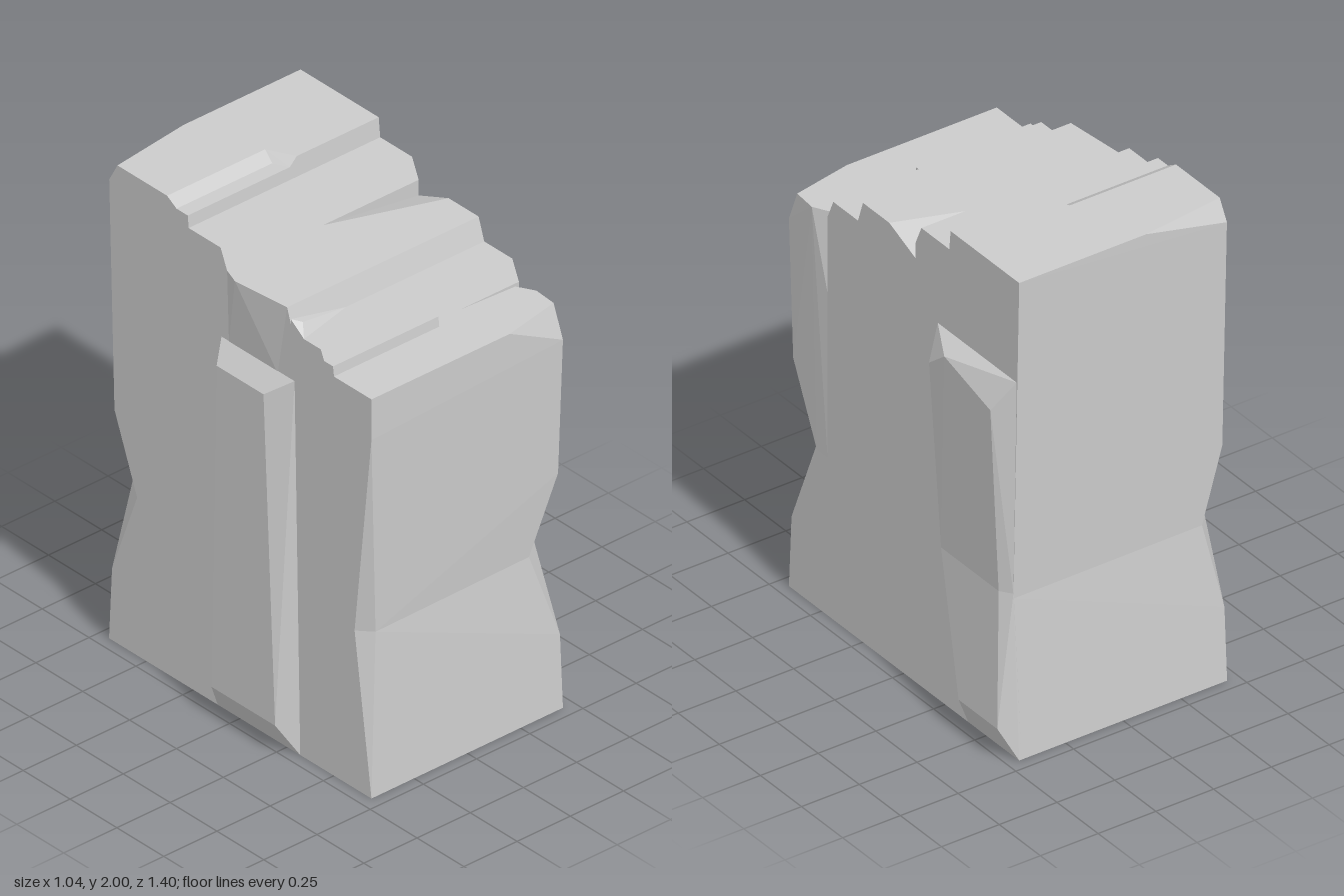
import * as THREE from 'three';
import { ConvexGeometry } from 'three/addons/geometries/ConvexGeometry.js';

const W = 0.45;      // half width of the rock
const WAIST = 0.66;  // height of the pinched waist

export function createModel() {
  const group = new THREE.Group();
  const mat = new THREE.MeshStandardMaterial({ color: 0xcccccc, flatShading: true });

  // A faceted chunk of rock: the convex hull of a few corners
  const chunk = (name, pts) => {
    const mesh = new THREE.Mesh(new ConvexGeometry(pts.map(p => new THREE.Vector3(...p))), mat);
    mesh.name = name;
    group.add(mesh);
  };
  // Both side points for each [y, z] of a profile
  const span = (profile, x0 = -W, x1 = W) => profile.flatMap(([y, z]) => [[x0, y, z], [x1, y, z]]);

  // Waist corners: chips at front left and back right, a bevel at front right
  const frontWaist = [[-0.4, WAIST, 0.665], [-W, WAIST, 0.61], [0.33, WAIST, 0.655], [W, WAIST, 0.53]];
  const backWaist = [[W, WAIST, -0.665], [-0.37, WAIST, -0.66], [-W, WAIST, -0.55]];

  // Lower block, flaring out to the ground
  chunk('base', [
    ...span([[0, 0.7], [0, -0.7]]), ...frontWaist, ...backWaist,
    [W, 0.3, 0.684], [-W, 0.3, -0.684],
  ]);

  // Front column, with a chipped top corner and a side crack
  chunk('frontStep', [
    ...frontWaist, ...span([[WAIST, 0.465]]),
    [W, 0.97, 0.674], [-W, 1.5, 0.7], [-W, 1.67, 0.7], [0.2, 1.67, 0.7],
    [W, 1.54, 0.7], [W, 1.67, 0.65], [0.458, 1.67, 0.55], [0.42, 1.67, 0.48],
    [0.17, 1.67, 0.465], [W, 1.35, 0.465], [-W, 1.67, 0.465],
  ]);

  // Second step
  chunk('secondStep', span([
    [WAIST, 0.465], [1.67, 0.465], [1.75, 0.43], [1.75, 0.28], [WAIST, 0.28],
  ]));

  // Third step, its back left corner broken away
  chunk('thirdStep', [
    ...span([[WAIST, 0.28], [1.75, 0.28], [1.84, 0.25], [WAIST, -0.07]]),
    [-W, 1.84, -0.07], [0, 1.84, -0.07], [-0.02, 1.84, -0.02],
    [W, 1.84, 0.09], [W, 1.77, 0], [W, 1.775, -0.07],
  ]);

  // Fourth step
  chunk('fourthStep', span([
    [WAIST, -0.07], [1.84, -0.07], [1.92, -0.105], [1.92, -0.275], [WAIST, -0.275],
  ]));

  // Top step: a ledge, a ramp behind it and a full-height left part
  chunk('topLedge', span([
    [WAIST, -0.275], [1.92, -0.275], [1.97, -0.28], [1.97, -0.39], [WAIST, -0.39],
  ]));
  chunk('topRamp', span([[1.97, -0.34], [2, -0.39], [1.97, -0.39]], -W, 0.05));
  chunk('topEdge', [
    ...span([[1.97, -0.28], [2, -0.283]], 0.065, W),
    [0.03, 1.97, -0.28], [0.0, 1.97, -0.34],
    ...span([[1.97, -0.39], [2, -0.39]], 0.01, W), [0.04, 2, -0.34],
  ]);

  // Back column with a chipped top corner
  chunk('backColumn', [
    ...span([[WAIST, -0.39], [2, -0.39]]), ...backWaist,
    [-W, 0.97, -0.671], [W, 2, -0.7], [-0.1, 2, -0.7],
    [-W, 2, -0.655], [-W, 1.92, -0.699],
  ]);

  // Small shelf on the front step
  chunk('shelf', span([[1.67, 0.5], [1.71, 0.495], [1.67, 0.44], [1.71, 0.44]], -W, 0.045));

  // Rubble wedge at the foot of the third step
  chunk('footWedge', [
    [-W, 1.75, 0.34], [-0.42, 1.79, 0.3], [-0.2, 1.75, 0.28],
    [-W, 1.75, 0.27], [-W, 1.8, 0.27],
  ]);

  // Flaring spur above the right pillar
  chunk('sideSpur', [
    [-0.475, 1.84, 0], [-W, 1.84, -0.07], [-W, 1.84, 0.25], [-0.43, 1.84, 0],
    [-W, 1.54, -0.06], [-W, 1.54, 0.2],
  ]);

  // Left pillar, pinched at the waist
  const pillarWaist = [
    [0.44, 0.68, -0.24], [W, 0.68, -0.24], [0.482, 0.68, -0.27],
    [0.482, 0.68, -0.62], [W, 0.68, -0.665], [0.44, 0.68, -0.66],
  ];
  chunk('leftPillarLower', [
    ...pillarWaist, ...span([[0, -0.39], [0, -0.7]], 0.44, W),
    [0.52, 0.14, -0.43], [0.52, 0.14, -0.665],
  ]);
  chunk('leftPillarUpper', [
    ...pillarWaist, ...span([[1.575, -0.205], [1.575, -0.685]], 0.44, W),
    [0.513, 1.45, -0.24], [0.518, 1.53, -0.34], [0.518, 1.45, -0.62],
  ]);

  // Right pillar, straight with bevelled ends
  chunk('rightPillar', [
    ...span([[0, -0.12], [0, 0.32], [1.55, -0.1], [1.55, 0.29]], -W, -0.44),
    [-0.524, 0.13, -0.07], [-0.524, 0.13, 0.27],
    [-0.517, 1.48, -0.05], [-0.517, 1.48, 0.2],
  ]);

  return group;
}
